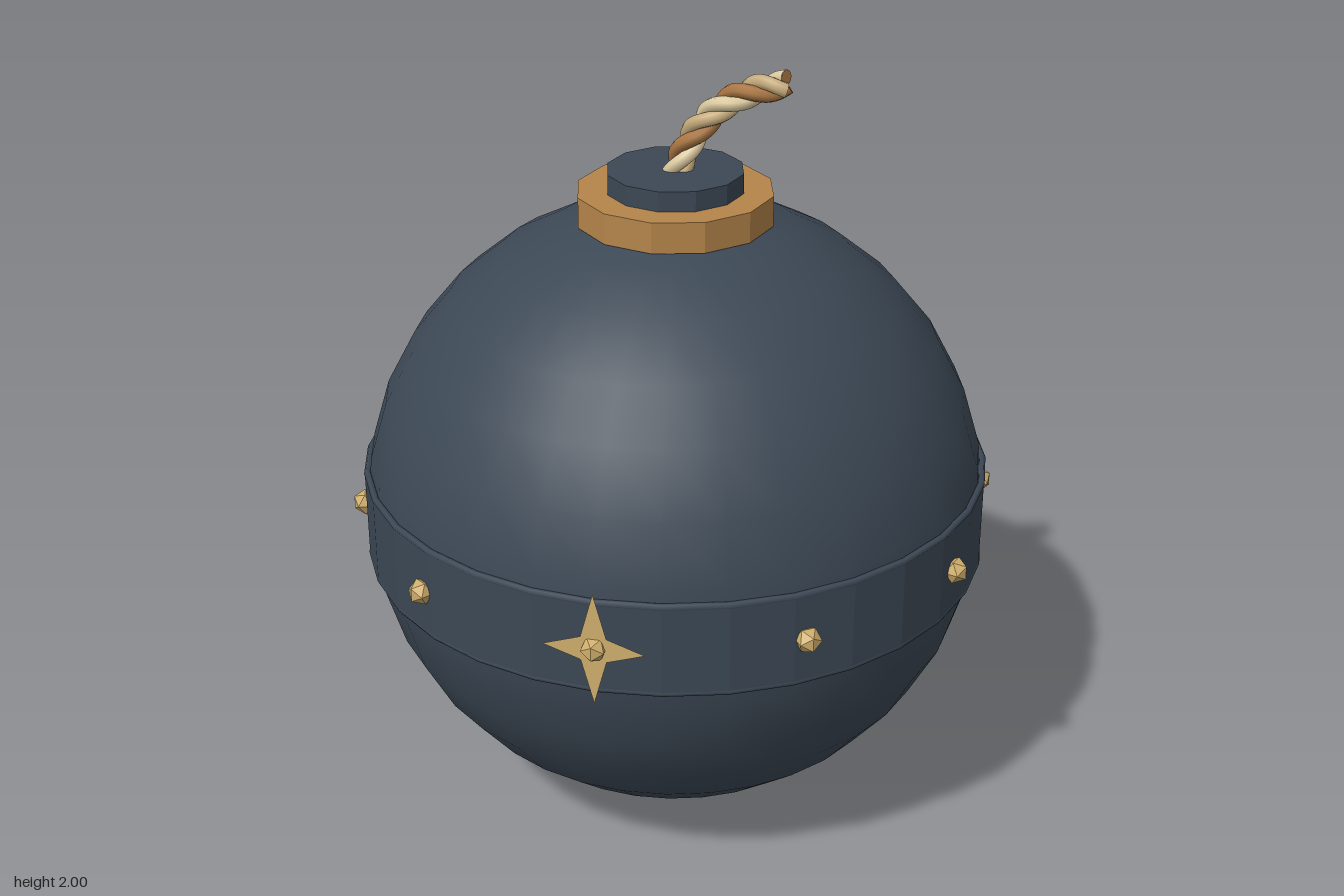
import * as THREE from 'three';

const mat = (name, color, opts = {}) => {
  const m = new THREE.MeshStandardMaterial({ color, ...opts });
  m.name = name;
  return m;
};

// Rope centre line, lying in the plane z = 0
const ropePath = new THREE.CubicBezierCurve3(
  new THREE.Vector3(0, 1.71, 0), new THREE.Vector3(0.03, 1.84, 0),
  new THREE.Vector3(0.12, 1.95, 0), new THREE.Vector3(0.28, 1.972, 0));

// One strand winding around the centre line
class Strand extends THREE.Curve {
  constructor(phase) { super(); this.phase = phase; }
  getPoint(t, target = new THREE.Vector3()) {
    const p = ropePath.getPointAt(t), d = ropePath.getTangentAt(t);
    const a = this.phase + t * 2 * Math.PI * 2, r = 0.019;
    return target.set(
      p.x - d.y * r * Math.cos(a), p.y + d.x * r * Math.cos(a), r * Math.sin(a));
  }
}

export function createModel() {
  const model = new THREE.Group();
  model.name = 'roundBomb';
  const CY = 0.825;

  const iron = mat('dark iron', 0x3c4855);
  const ironFlat = mat('dark iron faceted', 0x3c4855, { flatShading: true });
  const copper = mat('copper', 0xb5854b, { flatShading: true });
  const gold = mat('gold', 0xcfae6c, { flatShading: true, side: THREE.DoubleSide });
  const ropeMats = [mat('cream rope', 0xddcba0), mat('tan rope', 0xc6ab7c), mat('brown rope', 0xaa7643)];

  const add = (name, geometry, material, x = 0, y = 0, z = 0, parent = model) => {
    const mesh = new THREE.Mesh(geometry, material);
    mesh.name = name;
    mesh.position.set(x, y, z);
    parent.add(mesh);
    return mesh;
  };

  // Body
  add('body', new THREE.SphereGeometry(0.817, 32, 16), iron, 0, CY, 0);

  // Belt with a raised rim along each edge
  add('belt', new THREE.CylinderGeometry(0.82, 0.82, 0.24, 32, 1, true), ironFlat, 0, CY, 0);
  for (const s of [-1, 1]) {
    const rim = add(s > 0 ? 'upperRim' : 'lowerRim',
      new THREE.TorusGeometry(0.812, 0.01, 6, 32), iron, 0, CY + s * 0.117, 0);
    rim.rotation.x = Math.PI / 2;
  }

  // Neck: copper collar and iron cap
  add('collar', new THREE.CylinderGeometry(0.253, 0.253, 0.08, 12), copper, 0, 1.643, 0);
  add('cap', new THREE.CylinderGeometry(0.176, 0.176, 0.07, 12), ironFlat, 0, 1.7, 0);

  // Studs around the belt
  const studs = new THREE.Group();
  studs.name = 'studs';
  model.add(studs);
  const studGeo = new THREE.IcosahedronGeometry(0.034, 0);
  for (let i = 0; i < 10; i++) {
    const a = i * Math.PI / 5;
    const stud = add('stud', studGeo, gold, 0.825 * Math.sin(a), CY, 0.825 * Math.cos(a), studs);
    stud.rotation.y = a;
  }

  // Four-pointed star plate on the front
  const star = new THREE.Shape();
  for (let i = 0; i < 8; i++) {
    const a = i * Math.PI / 4;
    const r = i % 2 ? 0.045 : i % 4 ? 0.15 : 0.126;
    star[i ? 'lineTo' : 'moveTo'](r * Math.cos(a), r * Math.sin(a));
  }
  star.closePath();
  add('star', new THREE.ShapeGeometry(star), gold, 0, CY, 0.829);

  // Fuse: three twisted strands with closed tips
  const fuse = new THREE.Group();
  fuse.name = 'fuse';
  model.add(fuse);
  ropeMats.forEach((m, i) => {
    const strand = new Strand(i * Math.PI * 2 / 3);
    add('strand', new THREE.TubeGeometry(strand, 48, 0.019, 8, false), m, 0, 0, 0, fuse);
    const end = strand.getPoint(1);
    const tip = add('strandTip', new THREE.CircleGeometry(0.019, 8), ropeMats[2], end.x, end.y, end.z, fuse);
    tip.quaternion.setFromUnitVectors(new THREE.Vector3(0, 0, 1), strand.getTangent(1));
  });

  return model;
}
